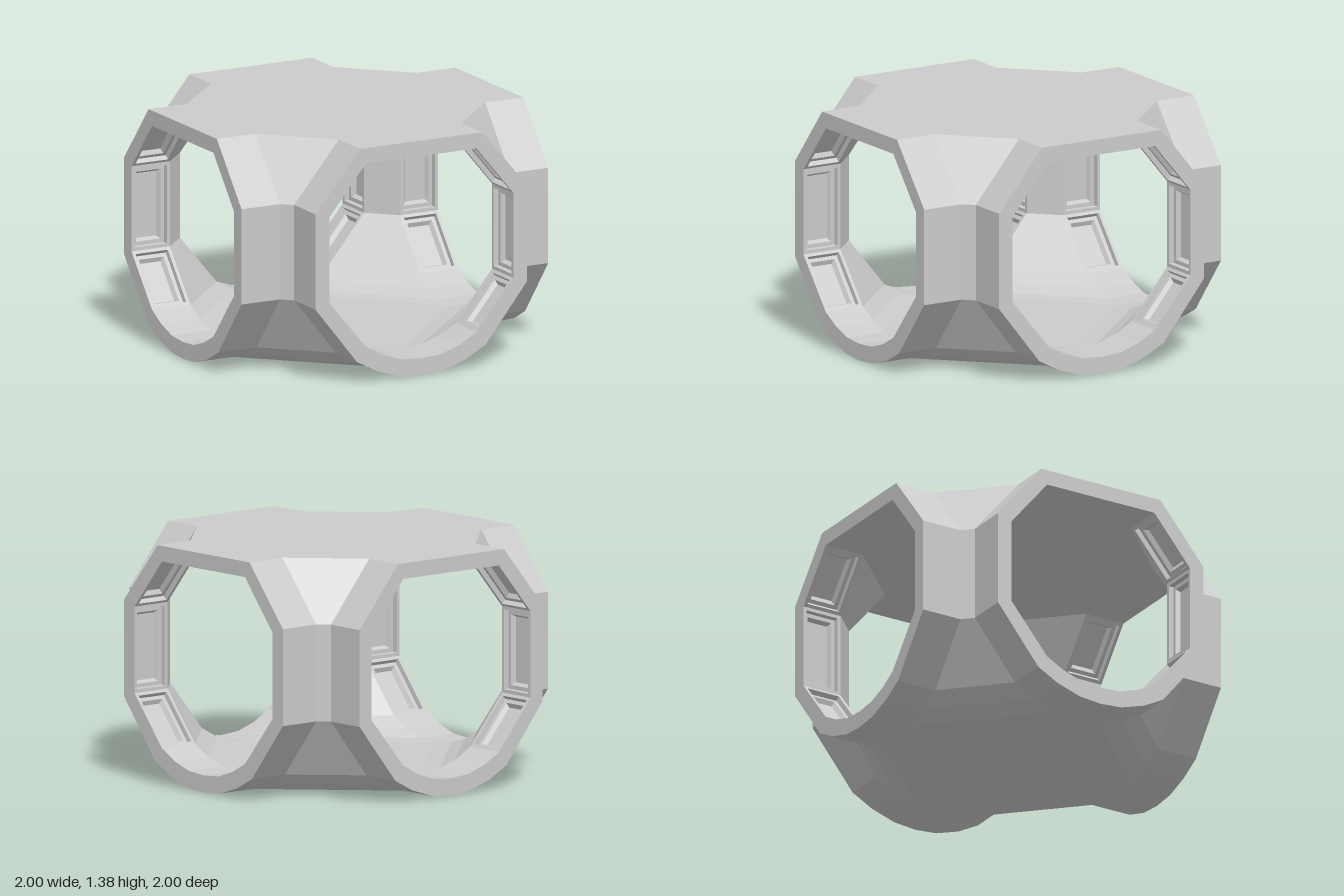
import * as THREE from 'three';

// Half profiles of the tunnel, [half width, height] from top to bottom
const OUTER = [[0.4, 1.38], [0.69, 1.03], [0.69, 0.47], [0.42, 0.13], [0.29, 0.06], [0.14, 0.012], [0, 0]];
const INNER = [[0.36, 1.29], [0.6, 1.0], [0.6, 0.5], [0.36, 0.21], [0.25, 0.15], [0.13, 0.11], [0, 0.1]];
const END = 1;       // reach of each arm
const CORNER = 0.75; // where the arms meet the chamfered corners
// Stepped frame of a wall panel, [inset, depth]
const STEPS = [[0, 0], [0.02, 0], [0.022, 0.03], [0.045, 0.03], [0.06, 0.055]];

const material = new THREE.MeshStandardMaterial({ color: 0xcccccc, flatShading: true });

// Cross-shaped plan outline at one height: four points per quadrant
function outline([w, y]) {
  const points = [];
  for (let q = 0; q < 4; q++) {
    for (const [px, pz] of [[END, w], [CORNER, w], [w, CORNER], [w, END]]) {
      let x = px, z = pz;
      for (let k = 0; k < q; k++) [x, z] = [-z, x];
      points.push(new THREE.Vector3(x, y, z));
    }
  }
  return points;
}

// Collects flat facets, leaving out empty ones
class Facets {
  constructor() { this.data = []; }
  tri(a, b, c) {
    const area = b.clone().sub(a).cross(c.clone().sub(a)).length();
    if (area > 1e-7) for (const p of [a, b, c]) this.data.push(p.x, p.y, p.z);
  }
  quad(a, b, c, d) { this.tri(a, b, c); this.tri(a, c, d); }
  mesh(name) {
    const geometry = new THREE.BufferGeometry();
    geometry.setAttribute('position', new THREE.Float32BufferAttribute(this.data, 3));
    geometry.computeVertexNormals();
    const mesh = new THREE.Mesh(geometry, material);
    mesh.name = name;
    return mesh;
  }
}

// Nested rectangular frame sunk into a wall facet
function addPanel(facets, corners) {
  const [a, b, , d] = corners;
  const u = b.clone().sub(a).normalize();
  const v = d.clone().sub(a).normalize();
  const n = u.clone().cross(v).normalize();
  const signs = [[1, 1], [-1, 1], [-1, -1], [1, -1]];
  const rings = STEPS.map(([inset, depth]) => corners.map((p, i) => p.clone()
    .addScaledVector(u, signs[i][0] * inset)
    .addScaledVector(v, signs[i][1] * inset)
    .addScaledVector(n, -depth)));
  for (let r = 0; r + 1 < rings.length; r++) {
    for (let i = 0; i < 4; i++) {
      const k = (i + 1) % 4;
      facets.quad(rings[r][i], rings[r][k], rings[r + 1][k], rings[r + 1][i]);
    }
  }
  facets.quad(...rings[rings.length - 1]);
}

// Lofts the plan outlines; the arm ends stay open
function loft(profile, inward, shell, panels) {
  const rows = profile.map(outline);
  const count = rows[0].length;
  for (let i = 0; i + 1 < rows.length; i++) {
    for (let j = 0; j < count; j++) {
      const side = j % 4;
      if (side === 3) continue;
      const k = (j + 1) % count;
      const corners = [rows[i][j], rows[i][k], rows[i + 1][k], rows[i + 1][j]];
      if (inward) corners.reverse();
      if (panels && side !== 1 && i < 3) addPanel(panels, corners);
      else shell.quad(...corners);
    }
  }
  // Flat roof and floor
  for (const top of [true, false]) {
    const row = rows[top ? 0 : rows.length - 1];
    const centre = new THREE.Vector3(0, row[0].y, 0);
    for (let j = 0; j < count; j++) {
      const k = (j + 1) % count;
      if (top !== inward) shell.tri(centre, row[k], row[j]);
      else shell.tri(centre, row[j], row[k]);
    }
  }
}

// Full closed profile from its half
function fullProfile(profile) {
  const right = profile.map(([x, y]) => new THREE.Vector2(x, y));
  const left = profile.slice(0, -1).reverse().map(([x, y]) => new THREE.Vector2(-x, y));
  return [...right, ...left];
}

export function createModel() {
  const model = new THREE.Group();
  model.name = 'tunnelJunction';

  const outer = new Facets();
  loft(OUTER, false, outer, null);
  model.add(outer.mesh('outerShell'));

  const inner = new Facets();
  const panels = new Facets();
  loft(INNER, true, inner, panels);
  model.add(inner.mesh('innerShell'), panels.mesh('wallPanels'));

  // Flat rim around each of the four openings
  const shape = new THREE.Shape(fullProfile(OUTER));
  shape.holes.push(new THREE.Path(fullProfile(INNER)));
  const rimGeometry = new THREE.ShapeGeometry(shape).translate(0, 0, END);
  for (let q = 0; q < 4; q++) {
    const rim = new THREE.Mesh(rimGeometry, material);
    rim.name = 'openingRim';
    rim.rotation.y = q * Math.PI / 2;
    model.add(rim);
  }
  return model;
}
